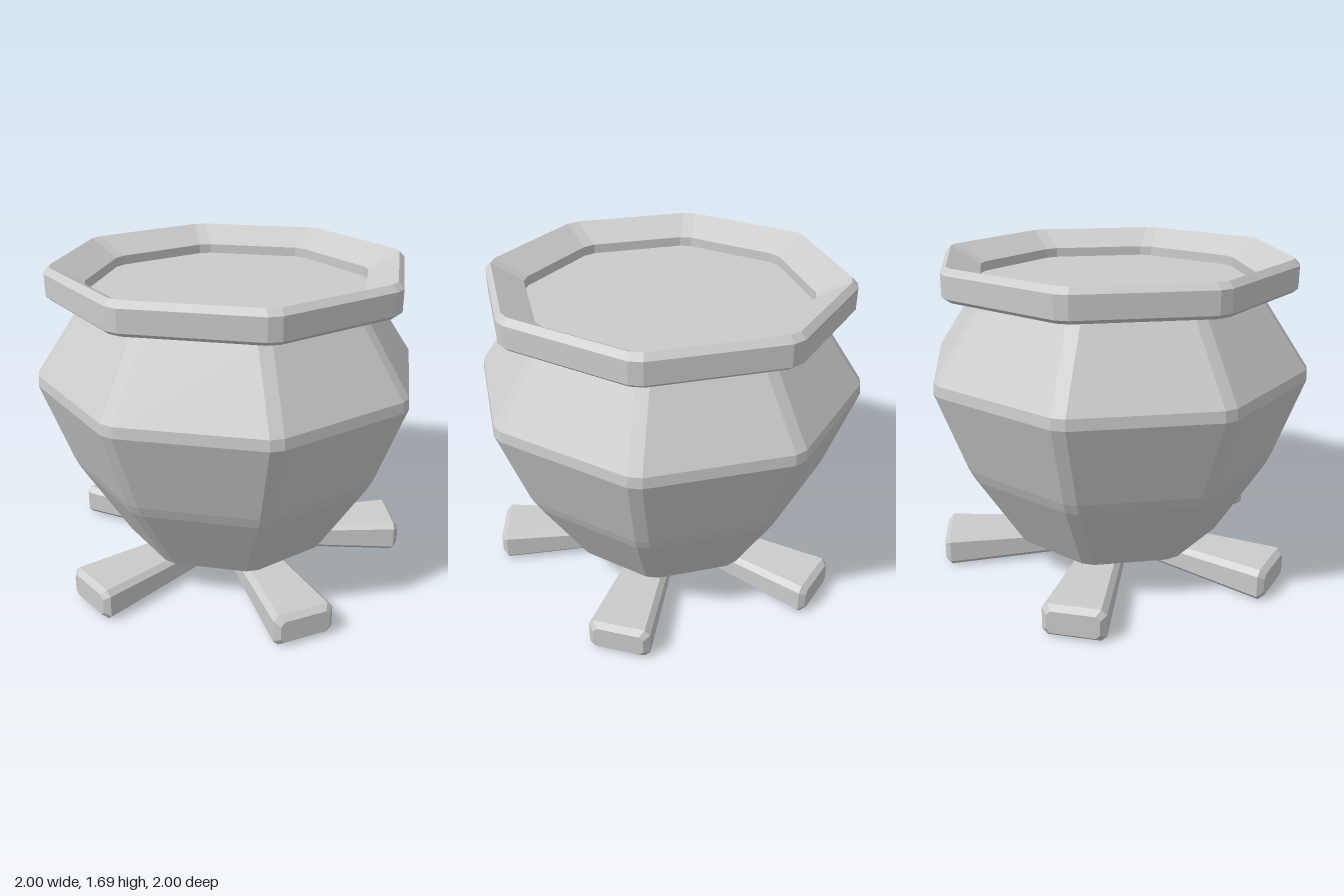
import * as THREE from 'three';

const material = new THREE.MeshStandardMaterial({ color: 0xcccccc, flatShading: true });

// Skin a list of equal-length rings, optionally closing the two ends
function loft(rings, capStart, capEnd) {
  const n = rings[0].length;
  const index = [];
  for (let i = 0; i < rings.length - 1; i++) {
    for (let j = 0; j < n; j++) {
      const k = (j + 1) % n;
      const a = i * n + j, b = i * n + k, c = a + n, d = b + n;
      index.push(a, c, b, b, c, d);
    }
  }
  const last = (rings.length - 1) * n;
  for (let j = 1; j < n - 1; j++) {
    if (capStart) index.push(0, j, j + 1);
    if (capEnd) index.push(last, last + j + 1, last + j);
  }
  const indexed = new THREE.BufferGeometry();
  indexed.setAttribute('position', new THREE.Float32BufferAttribute(rings.flat(2), 3));
  indexed.setIndex(index);
  const geometry = indexed.toNonIndexed();
  geometry.computeVertexNormals();
  return geometry;
}

// Eight-sided ring with narrow bevelled corners
function octagon(r, y, bevel = 0.033) {
  const points = [];
  for (let k = 0; k < 8; k++) {
    const c = Math.cos(k * Math.PI / 4), s = Math.sin(k * Math.PI / 4);
    for (const t of [-bevel, bevel]) points.push([r * c - t * s, y, r * s + t * c]);
  }
  return points;
}

// Rectangular ring with cut corners, across the length of a log
function logSection(x, w, low, high, c) {
  const m = (low + high) / 2, h = (high - low) / 2;
  return [
    [h, w - c], [h, c - w], [h - c, -w], [c - h, -w],
    [-h, c - w], [-h, w - c], [c - h, w], [h - c, w],
  ].map(([y, z]) => [x, m + y, z]);
}

function part(name, geometry) {
  const mesh = new THREE.Mesh(geometry, material);
  mesh.name = name;
  return mesh;
}

export function createModel() {
  const model = new THREE.Group();
  model.name = 'cauldronOnLogs';

  // Pot body, from the base up to the neck
  const body = [
    [0.53, 0.17], [0.57, 0.19], [0.82, 0.6], [0.848, 0.66],
    [1, 1.085], [0.995, 1.14], [0.75, 1.5], [0.74, 1.515], [0.76, 1.54],
  ];
  model.add(part('potBody', loft(body.map(([r, y]) => octagon(r, y)), true, false)));

  // Rim with bevelled edges and a funnel-shaped inside
  const rim = [
    [0.74, 1.53], [0.9, 1.53], [0.925, 1.55], [0.925, 1.66],
    [0.895, 1.69], [0.73, 1.6], [0.73, 1.53],
  ];
  model.add(part('rim', loft(rim.map(([r, y]) => octagon(r, y)), false, false)));

  // Flat surface of the contents
  model.add(part('contents', loft([octagon(0.74, 1.535), octagon(0.74, 1.55)], true, true)));

  // Five tapered logs fanned out underneath
  const logGeometry = loft([
    logSection(0.15, 0.075, 0.05, 0.13, 0.02),
    logSection(0.175, 0.1, 0.028, 0.153, 0.025),
    logSection(0.925, 0.16, 0, 0.172, 0.028),
    logSection(0.953, 0.132, 0.026, 0.146, 0.022),
  ], true, true);
  const logs = new THREE.Group();
  logs.name = 'logs';
  for (let i = 0; i < 5; i++) {
    const log = part('log', logGeometry);
    log.rotation.y = -THREE.MathUtils.degToRad(34 + 72 * i);
    logs.add(log);
  }
  model.add(logs);

  return model;
}
